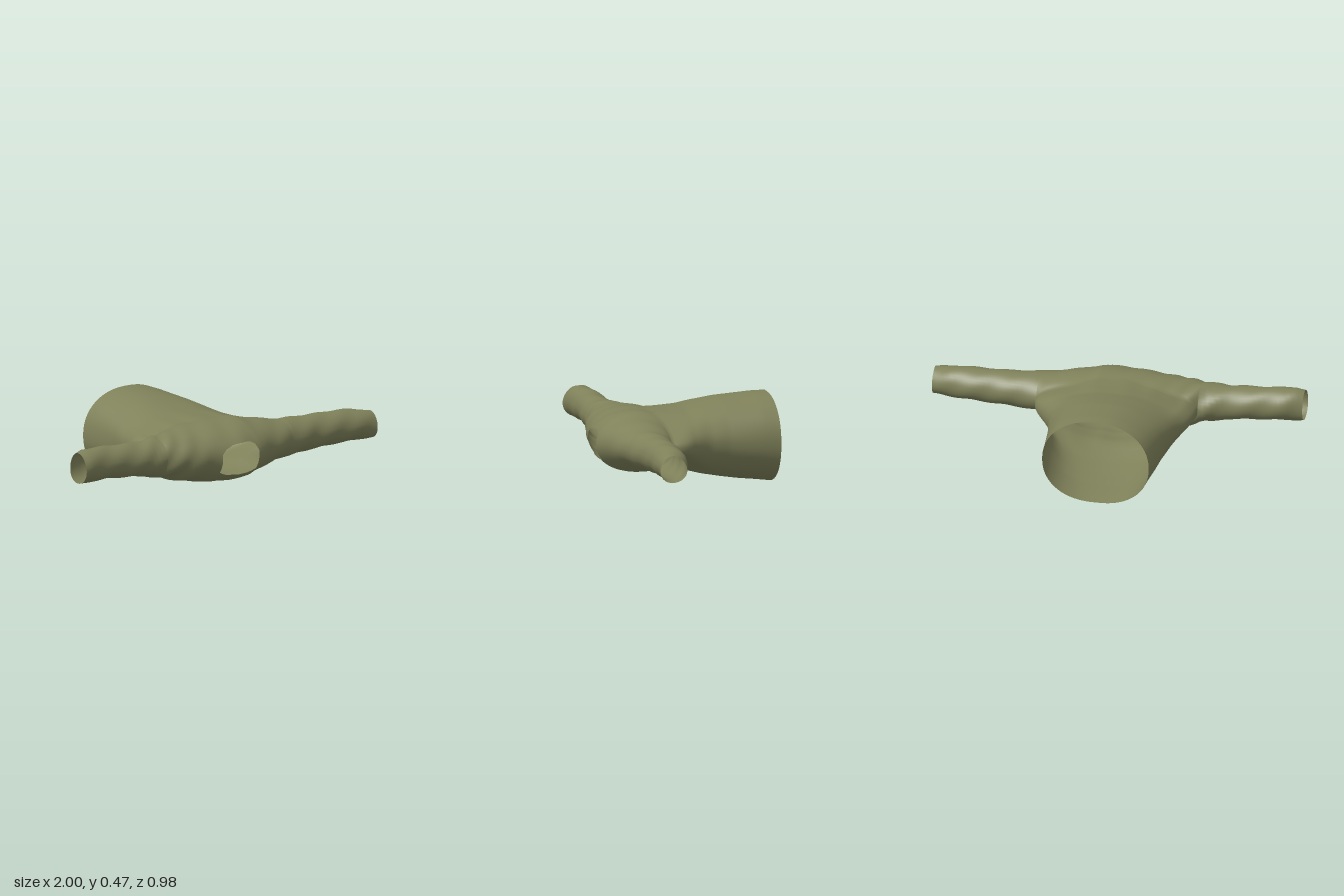
import * as THREE from 'three';
import { mergeVertices } from 'three/addons/utils/BufferGeometryUtils.js';

// Linear lookup in a short profile of [position, value] pairs
function at(table, x) {
  if (x <= table[0][0]) return table[0][1];
  for (let i = 1; i < table.length; i++) {
    const [x0, y0] = table[i - 1], [x1, y1] = table[i];
    if (x <= x1) return y0 + (y1 - y0) * (x - x0) / (x1 - x0);
  }
  return table[table.length - 1][1];
}

// Cuff-to-cuff outline along x
const FRONT = [[-1, .42], [-.8, .4], [-.6, .405], [-.45, .412], [-.4, .43], [-.3, .457], [-.2, .468],
  [-.1, .492], [0, .5], [.1, .49], [.2, .452], [.3, .425], [.4, .39], [.5, .37], [.6, .35], [.8, .345], [1, .345]];
const BACK = [[-1, .275], [-.9, .245], [-.8, .235], [-.6, .213], [-.45, .183], [-.35, .12], [-.2, .05], [0, .01],
  [.2, .05], [.33, .11], [.42, .145], [.6, .16], [.8, .165], [.9, .175], [1, .2]];
const TOP = [[-1, .37], [-.95, .385], [-.8, .38], [-.6, .37], [-.5, .374], [-.4, .385], [-.3, .395], [-.2, .408],
  [0, .417], [.1, .415], [.2, .395], [.3, .376], [.4, .362], [.6, .356], [.8, .355], [.9, .35], [1, .33]];
const BOTTOM = [[-1, .205], [-.8, .205], [-.6, .19], [-.5, .172], [-.4, .155], [-.3, .123], [-.2, .105], [-.1, .09],
  [0, .085], [.1, .09], [.2, .115], [.3, .145], [.4, .157], [.6, .17], [.8, .18], [1, .185]];
// Neck hole rim, as angles above and below the foremost line
const NECK_UP = [[-.135, .12], [-.11, .3], [-.06, .42], [.05, .45], [.08, .36], [.1, .12]];
const NECK_DOWN = [[-.135, .55], [-.09, .65], [0, .75], [.06, .68], [.1, .55]];
// Torso outline along z
const SIDE_R = [[-.48, -.335], [-.2, -.36], [0, -.395], [.1, -.43], [.18, -.45]];
const SIDE_L = [[-.48, .245], [-.2, .275], [0, .32], [.1, .38], [.15, .42]];
const T_TOP = [[-.48, .476], [-.4, .474], [-.2, .455], [0, .42], [.06, .418], [.18, .41]];
const T_BOTTOM = [[-.48, 0], [-.4, .01], [-.3, .02], [-.2, .035], [-.1, .055], [0, .08], [.08, .11], [.12, .112], [.18, .09]];

const ARM_R = -.45, ARM_L = .42, NECK_R = -.135, NECK_L = .1;
const lerp = THREE.MathUtils.lerp, smooth = THREE.MathUtils.smoothstep;

// Point on the cuff-to-cuff tube; t runs back, top, front, bottom
function tubePoint(x, t) {
  const top = at(TOP, x), bottom = at(BOTTOM, x), front = at(FRONT, x), back = at(BACK, x);
  // Soft cloth folds, strongest near the right elbow
  const fold = .0025 * Math.sin(34 * x + 3 * t) + .006 * Math.exp(-(((x + .42) / .13) ** 2)) * Math.sin(48 * x + 4 * t);
  const y = (top + bottom) / 2 + ((top - bottom) / 2 + fold) * Math.sin(t);
  const z = (front + back) / 2 - ((front - back) / 2 + fold) * Math.cos(t);
  return [x, y, z];
}

export function createModel() {
  const olive = new THREE.MeshStandardMaterial({ color: 0x7f815a, side: THREE.DoubleSide });
  olive.name = 'olive cloth';
  const pos = [], ranges = [];

  function grid(nu, nv, point, skip = () => false) {
    for (let u = 0; u < nu; u++) {
      if (skip(u)) continue;
      for (let v = 0; v < nv; v++) {
        const a = point(u, v), b = point(u, v + 1), c = point(u + 1, v + 1), d = point(u + 1, v);
        pos.push(...a, ...b, ...c, ...a, ...c, ...d);
      }
    }
  }
  function part(name, build) {
    const start = pos.length / 3;
    build();
    ranges.push({ name, start, end: pos.length / 3 });
  }

  // Three strips round the tube: above, across and below the neck line
  function tube(xs, opening, hole) {
    const n = xs.length - 1;
    const up = i => Math.PI - at(NECK_UP, xs[i]);
    const down = i => Math.PI + at(NECK_DOWN, xs[i]);
    grid(n, 18, (i, j) => tubePoint(xs[i], lerp(opening(i), up(i), j / 18)));
    grid(n, 6, (i, j) => tubePoint(xs[i], lerp(up(i), down(i), j / 6)), hole);
    grid(n, 18, (i, j) => tubePoint(xs[i], lerp(down(i), 2 * Math.PI - opening(i), j / 18)));
  }

  // Sleeves
  const span = (a, b, n) => Array.from({ length: n + 1 }, (_, i) => lerp(a, b, i / n));
  part('rightSleeve', () => tube(span(-1, ARM_R, 22), () => 0));
  part('leftSleeve', () => tube(span(ARM_L, 1, 22), () => 0));

  // Shoulder yoke, open behind to the torso and in front at the neck
  const N = 56;
  const xs = Array.from({ length: N + 1 }, (_, i) =>
    lerp(ARM_R, ARM_L, (1 - Math.cos(Math.PI * i / N)) / 2));
  for (const edge of [NECK_R, NECK_L]) {
    let best = 0;
    xs.forEach((x, i) => { if (Math.abs(x - edge) < Math.abs(xs[best] - edge)) best = i; });
    xs[best] = edge;
  }
  const opening = i => (i === 0 || i === N) ? 0 : Math.asin(.97 * Math.sin(Math.PI * i / N) ** .8);
  part('shoulderYoke', () => tube(xs, opening, i => xs[i] >= NECK_R - 1e-6 && xs[i + 1] <= NECK_L + 1e-6));

  // Torso, lofted from the open hem to the rear edge of the yoke
  const rows = 40;
  const squash = c => Math.sign(c) * Math.abs(c) ** .92;
  part('torso', () => grid(2 * N, rows, (k, v) => {
    const i = k <= N ? k : 2 * N - k, lower = k > N;
    const ring = tubePoint(xs[i], lower ? 2 * Math.PI - opening(i) : opening(i));
    if (v === rows) return ring;
    const a = Math.PI * (k % (2 * N)) / N, f = v / rows;
    const z = lerp(-.471 - .016 * Math.abs(Math.cos(a)), ring[2], f);
    const r = at(SIDE_R, z), l = at(SIDE_L, z), top = at(T_TOP, z), bottom = at(T_BOTTOM, z);
    const ripple = 1 + .007 * Math.sin(7 * a + 6 * z) * Math.sin(Math.PI * f);
    const x = (r + l) / 2 - (l - r) / 2 * squash(Math.cos(a)) * ripple;
    const y = (top + bottom) / 2 + (top - bottom) / 2 * squash(Math.sin(a)) * ripple;
    const w = smooth(f, .6, 1);
    return [lerp(x, ring[0], w), lerp(y, ring[1], w), z];
  }));

  // Weld everything so shading runs smoothly across the seams
  const raw = new THREE.BufferGeometry();
  raw.setAttribute('position', new THREE.Float32BufferAttribute(pos, 3));
  const cloth = mergeVertices(raw, 1e-5);
  cloth.computeVertexNormals();

  const group = new THREE.Group();
  group.name = 'longSleevedTop';
  for (const { name, start, end } of ranges) {
    const g = new THREE.BufferGeometry();
    g.setAttribute('position', cloth.attributes.position);
    g.setAttribute('normal', cloth.attributes.normal);
    g.setIndex(Array.from(cloth.index.array.slice(start, end)));
    const mesh = new THREE.Mesh(g, olive);
    mesh.name = name;
    group.add(mesh);
  }
  return group;
}
